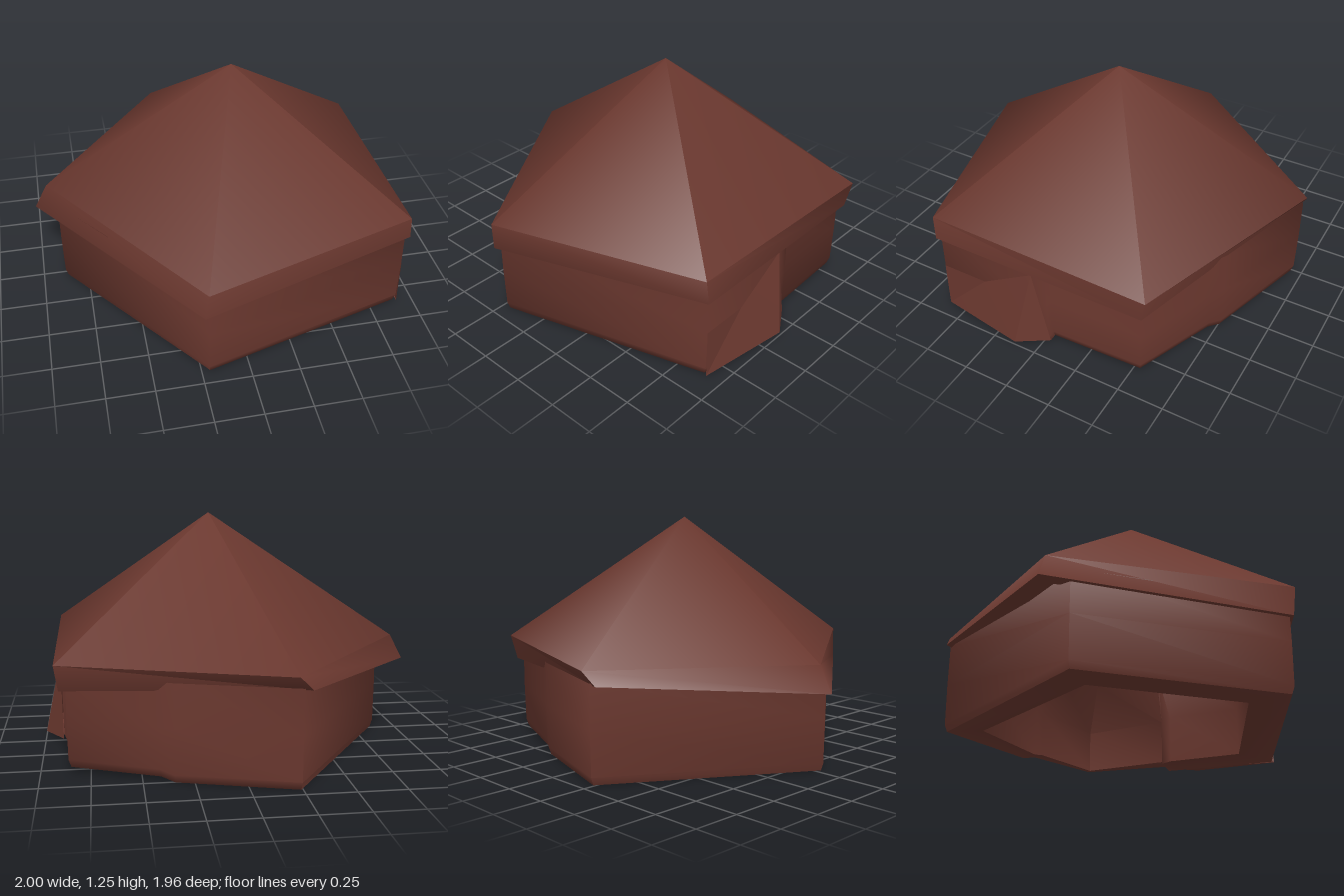
import * as THREE from 'three';
import { toCreasedNormals } from 'three/addons/utils/BufferGeometryUtils.js';

const material = new THREE.MeshStandardMaterial({ color: 0x6b382f, side: THREE.DoubleSide });

// Mesh from a list of triangles (each three [x, y, z] corners), smoothed below the crease angle
function meshFrom(name, triangles, crease) {
  const g = new THREE.BufferGeometry();
  g.setAttribute('position', new THREE.Float32BufferAttribute(triangles.flat(2), 3));
  const m = new THREE.Mesh(toCreasedNormals(g, crease), material);
  m.name = name;
  return m;
}

// Skin between rings listed from top to bottom, counterclockwise seen from above
function loft(rings) {
  const tris = [];
  for (let r = 0; r + 1 < rings.length; r++) {
    const a = rings[r], b = rings[r + 1], n = a.length;
    for (let i = 0; i < n; i++) {
      const j = (i + 1) % n;
      tris.push([a[i], b[i], b[j]], [a[i], b[j], a[j]]);
    }
  }
  return tris;
}

// Fan from a ring to a single point
const fan = (ring, p) => ring.map((c, i) => [p, c, ring[(i + 1) % ring.length]]);

export function createModel() {
  const group = new THREE.Group();

  // Roof: five-sided pyramid running softly into an uneven eave band, with a soffit
  const eaveTop = [
    [-0.22, 0.56, 0.975], [0.92, 0.595, 0.64], [0.92, 0.565, -0.605],
    [-0.22, 0.56, -0.98], [-0.93, 0.565, -0.08],
  ];
  const eaveBottom = [
    [-0.235, 0.4, 0.96], [0.93, 0.465, 0.63], [0.9, 0.43, -0.575],
    [-0.29, 0.49, -0.955], [-1, 0.43, -0.08],
  ];
  const soffit = eaveBottom.map(([x, y, z]) => [x * 0.85, y + 0.02, z * 0.85]);
  group.add(meshFrom('roof', [
    ...fan(eaveTop, [0.09, 1.255, 0]),
    ...loft([eaveTop, eaveBottom, soffit]),
  ], 1.3));

  // Walls: [x, z, rise of the foot, inner scale]; thinner and set back beside the buttress
  const plan = [
    [-0.21, 0.935, 0, 0.74], [0.91, 0.61, 0, 0.74], [0.905, 0.05, 0, 0.76],
    [0.9, -0.03, 0, 0.8], [0.875, -0.04, 0.02, 0.86], [0.865, -0.555, 0.03, 0.95],
    [0.42, -0.73, 0.02, 0.9], [0.35, -0.77, 0, 0.86], [-0.245, -0.955, 0, 0.78],
    [-0.88, 0.03, 0, 0.74],
  ];
  const ring = (y, scale, foot = 0) => plan.map(
    ([x, z, rise]) => [x * scale, y + foot * rise, z * scale],
  );
  const inner = (y, foot = 0) => plan.map(([x, z, rise, s]) => [x * s, y + foot * rise, z * s]);
  const ceiling = ring(0.52, 0.74);
  group.add(meshFrom('walls', loft([
    ring(0.5, 1),
    ring(0.27, 1),
    ring(0.04, 0.995, 1),
    ring(0, 0.98, 1),
    inner(0, 1),
    inner(0.27),
    ceiling,
  ]), 1.3));
  group.add(meshFrom('ceiling', fan(ceiling, [0, 0.52, 0]).map(([p, a, b]) => [p, b, a]), 1.3));

  // Faceted buttress leaning out of one wall
  const corner = [0.912, 0, 0.61], toe = [1, 0.02, 0.12], shoulder = [0.912, 0.27, 0.35];
  const cornerTop = [0.912, 0.27, 0.61], head = [0.912, 0.45, 0.05], heel = [0.9, 0.02, -0.04];
  group.add(meshFrom('buttress', [
    [corner, toe, shoulder], [corner, shoulder, cornerTop],
    [shoulder, toe, head], [head, toe, heel], [corner, heel, toe],
  ], 0.1));

  return group;
}
